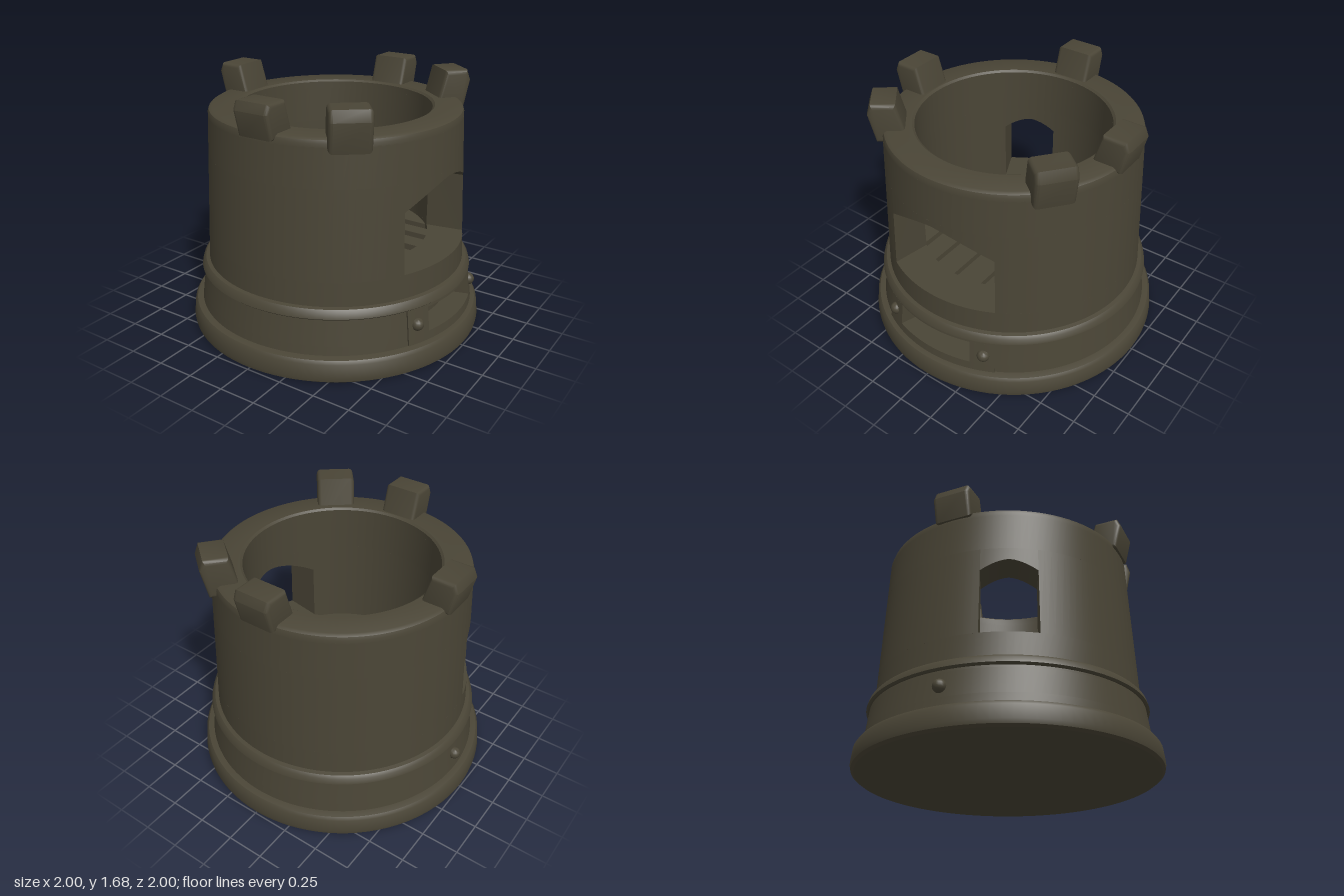
import * as THREE from 'three';
import { toCreasedNormals } from 'three/addons/utils/BufferGeometryUtils.js';

const stone = new THREE.MeshStandardMaterial({ color: 0x4a4536 });
stone.name = 'dark stone';
const rad = THREE.MathUtils.degToRad;
const INNER = 0.63;
const wallR = (y) => 0.875 - 0.043 * (y - 0.46);
const bandR = (y) => 0.935 - 0.13 * (y - 0.16);

function add(parent, name, geometry, crease = 0.6) {
  const mesh = new THREE.Mesh(toCreasedNormals(geometry, crease), stone);
  mesh.name = name;
  parent.add(mesh);
  return mesh;
}

// Curved block between two angles (degrees from +x towards +z).
// low and high may be functions of t = -1..1 across the block.
function block({ from, to, inFrom = from, inTo = to, low, high, rOut, rIn = INNER }) {
  const value = (v, t) => (typeof v === 'function' ? v(t) : v);
  const steps = Math.max(12, Math.ceil((to - from) / 3));
  const pos = [], index = [];
  for (let i = 0; i <= steps; i++) {
    const f = i / steps, t = 2 * f - 1;
    const ao = rad(from + (to - from) * f), ai = rad(inFrom + (inTo - inFrom) * f);
    const y0 = value(low, t), y1 = value(high, t);
    for (const [r, y, a] of [[rOut(y0), y0, ao], [rOut(y1), y1, ao], [rIn, y1, ai], [rIn, y0, ai]]) {
      pos.push(r * Math.cos(a), y, r * Math.sin(a));
    }
    if (i === steps) break;
    for (let k = 0; k < 4; k++) {
      const a = i * 4 + k, b = i * 4 + (k + 1) % 4;
      index.push(a, b, a + 4, b, b + 4, a + 4);
    }
  }
  const e = steps * 4;
  index.push(0, 2, 1, 0, 3, 2, e, e + 1, e + 2, e, e + 2, e + 3);
  const g = new THREE.BufferGeometry();
  g.setAttribute('position', new THREE.Float32BufferAttribute(pos, 3));
  g.setIndex(index);
  return g;
}

function lathe(points) {
  return new THREE.LatheGeometry(points.map(([x, y]) => new THREE.Vector2(x, y)), 96);
}

// Battlement block, bevelled, leaning outwards
function merlonGeometry(width) {
  const b = 0.025;
  const shape = new THREE.Shape([
    [0.665, 1.47], [0.725, 1.655], [0.845, 1.655], [0.86, 1.62], [0.825, 1.485],
  ].reverse().map(([x, y]) => new THREE.Vector2(x, y)));
  const g = new THREE.ExtrudeGeometry(shape, {
    depth: width - 2 * b, bevelEnabled: true, bevelSize: b, bevelThickness: b, bevelSegments: 3,
  });
  g.translate(0, 0, -width / 2 + b);
  return g;
}

export function createModel() {
  const tower = new THREE.Group();
  tower.name = 'tower';

  // Foot and solid core up to the floor
  add(tower, 'foot', lathe([
    [0, 0], [0.975, 0], [0.995, 0.015], [1, 0.04], [0.99, 0.13], [0.975, 0.152],
    [0.93, 0.162], [0.78, 0.162], [0.78, 0.45], [0.74, 0.56], [0, 0.56],
  ]));

  // Lower band with a slot at +x
  const band = new THREE.Group();
  band.name = 'lowerBand';
  tower.add(band);
  const ring = { from: 0, to: 360, rIn: 0.72, rOut: bandR };
  add(band, 'bandBottom', block({ ...ring, low: 0.155, high: 0.22 }));
  add(band, 'bandMiddle', block({ ...ring, from: 18, to: 342, low: 0.22, high: 0.38 }));
  add(band, 'bandTop', block({ ...ring, low: 0.38, high: 0.41 }));
  add(band, 'bandLedge', lathe([
    [0.86, 0.395], [0.915, 0.395], [0.926, 0.405], [0.916, 0.44], [0.9, 0.458], [0.86, 0.466],
  ]));

  // Slot frame
  const plate = { rIn: 0.8, rOut: (y) => bandR(y) + 0.012 };
  add(band, 'frameBottom', block({ ...plate, from: -28, to: 28, low: 0.165, high: 0.22 }));
  add(band, 'frameTop', block({ ...plate, from: -28, to: 28, low: 0.38, high: 0.4 }));
  for (const s of [-1, 1]) {
    const [from, to] = s > 0 ? [18, 28] : [-28, -18];
    add(band, 'frameSide', block({ ...plate, from, to, low: 0.22, high: 0.38 }));
  }

  // Bolts
  for (const angle of [-23.5, 23.5, 180]) {
    const bolt = add(band, 'bolt', new THREE.SphereGeometry(0.042, 16, 10));
    const a = rad(angle);
    bolt.position.set(0.925 * Math.cos(a), 0.29, 0.925 * Math.sin(a));
  }

  // Wall, with a wide arched opening at +x and a narrow window near -x
  const wall = new THREE.Group();
  wall.name = 'wall';
  tower.add(wall);
  const w = { rOut: wallR };
  const door = { from: -28, to: 28, inFrom: -35, inTo: 35 };
  const slit = { from: 143, to: 167, inFrom: 138.7, inTo: 171.3 };
  add(wall, 'wallBase', block({ ...w, from: 0, to: 360, low: 0.44, high: 0.62 }));
  add(wall, 'frontWall', block({
    ...w, from: door.to, to: slit.from, inFrom: door.inTo, inTo: slit.inFrom, low: 0.62, high: 1.2,
  }));
  add(wall, 'backWall', block({
    ...w, from: slit.to, to: 360 + door.from, inFrom: slit.inTo, inTo: 360 + door.inFrom, low: 0.62, high: 1.2,
  }));
  const arch = (side, rise) => (t) => side + rise * (1 - Math.abs(t) ** 1.6);
  add(wall, 'openingArch', block({ ...w, ...door, low: arch(1.02, 0.14), high: 1.2 }));
  add(wall, 'windowArch', block({ ...w, ...slit, low: arch(1.05, 0.07), high: 1.2 }));
  add(wall, 'upperWall', block({ ...w, from: 0, to: 360, low: 1.2, high: 1.45 }));
  add(wall, 'rim', lathe([
    [wallR(1.44), 1.44], [0.832, 1.47], [0.825, 1.49], [0.805, 1.502],
    [0.645, 1.502], [INNER, 1.49], [INNER, 1.44],
  ]));

  // Floor boards with gaps between them
  const floor = new THREE.Group();
  floor.name = 'floor';
  tower.add(floor);
  for (const [z0, z1] of [[-0.62, -0.4], [-0.33, -0.23], [-0.16, -0.04], [0.04, 0.16], [0.23, 0.33], [0.4, 0.62]]) {
    const near = Math.min(Math.abs(z0), Math.abs(z1));
    const length = 2 * Math.sqrt(INNER ** 2 - near ** 2);
    const board = add(floor, 'floorBoard', new THREE.BoxGeometry(length, 0.05, z1 - z0));
    board.position.set(0, 0.575, (z0 + z1) / 2);
  }

  // Battlements: none above the wide opening
  for (const angle of [51, 90, 180, 270, 309]) {
    const diagonal = angle === 51 || angle === 309;
    const merlon = add(tower, 'merlon', merlonGeometry(0.255), 0.7);
    merlon.rotation.y = -rad(angle);
    if (diagonal) {
      // Diagonal ones sit further out and hang lower
      merlon.scale.set(1, 1.2, 1);
      const a = rad(angle);
      merlon.position.set(0.02 * Math.cos(a), -1.68 * 0.2, 0.02 * Math.sin(a));
    }
  }
  return tower;
}
